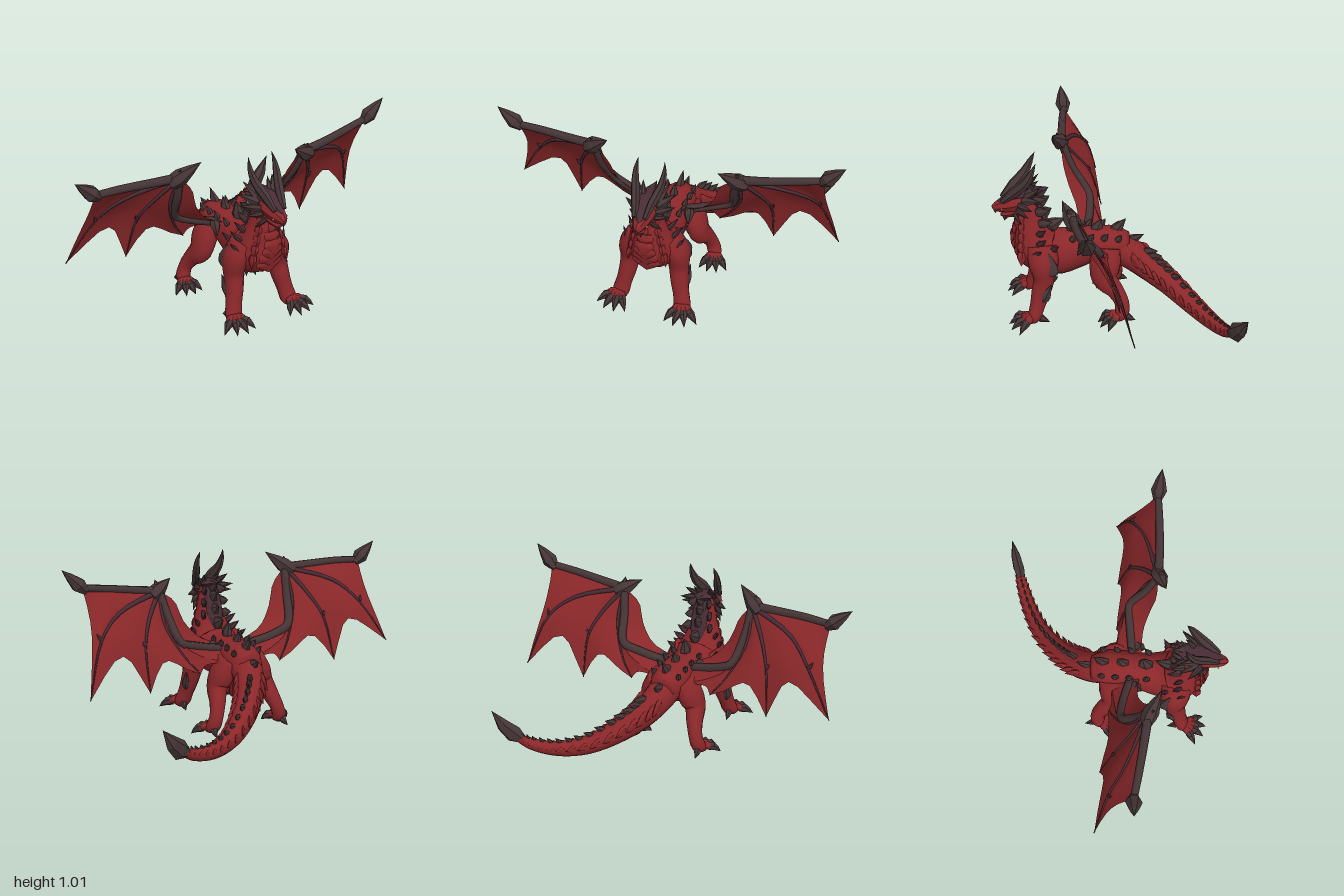
import * as THREE from 'three';

const V = (x, y, z) => new THREE.Vector3(x, y, z);
const X = V(1, 0, 0), Y = V(0, 1, 0), Z = V(0, 0, 1);
const mat = (name, color) => Object.assign(new THREE.MeshStandardMaterial({ color }), { name });
const red = mat('red scales', 0x8b272a);
const dark = mat('dark horn', 0x463536);
const plum = mat('plum bone', 0x482c35);
const eyeMat = mat('pale eye', 0xd2a872);
const skin = mat('wing skin', 0x892729);
skin.side = THREE.DoubleSide;

const curveOf = rows => new THREE.CatmullRomCurve3(rows.map(r => V(r[0], r[1], r[2])));

// Smooth tube through rows [x, y, z, a, b]; a is the half size towards ref, b across it.
function loft(name, rows, ref, material, { sides = 12, steps = 4, flat = false, sx = 1 } = {}) {
  const path = curveOf(rows.map(r => [r[0] * sx, r[1], r[2]]));
  const size = new THREE.CatmullRomCurve3(rows.map(r => V(r[3], r[4] ?? r[3], 0)), false, 'catmullrom', 0.5);
  const n = (rows.length - 1) * steps, pos = [], index = [];
  for (let i = -1; i <= n + 1; i++) {
    const t = Math.min(Math.max(i / n, 0), 1), p = path.getPoint(t), s = size.getPoint(t);
    const T = path.getTangent(t), N = ref.clone().addScaledVector(T, -ref.dot(T)).normalize();
    const S = T.clone().cross(N), k = i < 0 || i > n ? 0 : 1;
    for (let j = 0; j < sides; j++) {
      const a = j / sides * Math.PI * 2;
      const q = p.clone().addScaledVector(N, Math.cos(a) * Math.max(s.x * k, 0.0004))
        .addScaledVector(S, Math.sin(a) * Math.max(s.y * k, 0.0004));
      pos.push(q.x, q.y, q.z);
    }
  }
  for (let i = 0; i < n + 2; i++) for (let j = 0; j < sides; j++) {
    const a = i * sides + j, b = i * sides + (j + 1) % sides;
    index.push(a, b, b + sides, a, b + sides, a + sides);
  }
  let g = new THREE.BufferGeometry();
  g.setAttribute('position', new THREE.Float32BufferAttribute(pos, 3));
  g.setIndex(index);
  if (flat) g = g.toNonIndexed();
  g.computeVertexNormals();
  const m = new THREE.Mesh(g, material);
  m.name = name;
  return m;
}

// Faceted pointed scale or claw.
function spike(name, from, to, a, b = a, material = dark, sx = 1, ref = X) {
  const mid = from.map((v, i) => v + (to[i] - v) * 0.35);
  return loft(name, [[...from, a * 0.8, b * 0.8], [...mid, a, b], [...to, 0, 0]], ref, material,
    { sides: 6, steps: 2, flat: true, sx });
}

function makeBody() {
  const g = new THREE.Group(); g.name = 'body';
  g.add(loft('torsoAndNeck', [
    [0, .40, -.10, .07, .08], [0, .41, -.02, .105, .11], [0, .425, .08, .105, .10], [0, .40, .20, .11, .125],
    [0, .385, .32, .135, .142], [0, .425, .415, .148, .14], [0, .53, .452, .108, .102],
    [0, .62, .462, .076, .083], [0, .70, .475, .058, .065], [0, .745, .51, .04, .045]], X, red, { sides: 16 }));
  // Dark mane down the nape
  g.add(loft('mane', [[0, .78, .45, .045, .02], [0, .70, .412, .05, .02], [0, .62, .385, .052, .02], [0, .55, .355, .035, .015],
    [0, .52, .32, .01, .006]], X, plum, { sides: 8, steps: 2, flat: true }));
  // Large spines from nape to rump: base z, y, tip z, y, half width
  for (const [z, y, tz, ty, w] of [
    [.43, .76, .35, .80, .03], [.42, .70, .345, .745, .03], [.40, .63, .335, .665, .032], [.37, .54, .26, .60, .034],
    [.22, .50, .19, .61, .036], [.09, .495, .05, .58, .03], [-.01, .48, -.09, .575, .03], [-.10, .42, -.195, .465, .026]])
    g.add(spike('backSpine', [0, y, z], [0, ty, tz], w * .8, w * 1.25));
  for (const s of [1, -1]) {
    // Paired studs beside the spine
    for (const [x, y, z] of [[.08, .49, .23], [.08, .49, .13], [.08, .485, .05], [.075, .47, -.03]])
      g.add(spike('backStud', [x, y, z], [x * 1.15, y + .045, z - .03], .016, .02, dark, s));
    // Mane side plates
    for (const [x, y, z] of [[.045, .74, .44], [.055, .67, .425], [.065, .60, .41]])
      g.add(spike('maneSpine', [x, y, z], [x + .02, y + .02, z - .075], .016, .03, dark, s));
    // Shoulder thorns
    for (const [x, y, z] of [[.115, .49, .42], [.125, .455, .35], [.135, .43, .45], [.09, .54, .42]])
      g.add(spike('shoulderThorn', [x, y, z], [x + .045, y + .055, z - .045], .014, .022, plum, s));
    // Overlapping scales along the neck side
    for (let i = 0; i < 5; i++) {
      const y = .66 - i * .055, x = .045 + i * .013;
      g.add(spike('neckScale', [x, y, .495 + i * .004], [x + .015, y - .085, .505 + i * .004], .018, .032, red, s));
    }
  }
  // Broad throat and chest plates
  for (let i = 0; i < 7; i++) {
    const y = .665 - i * .045, z = .515 + .013 * Math.min(i, 3) - Math.max(i - 4, 0) * .014;
    g.add(spike('chestPlate', [0, y, z], [0, y - .085, z + (i < 4 ? .018 : 0)], .035 + .008 * i, .018, red));
  }
  return g;
}

function makeTail() {
  const g = new THREE.Group(); g.name = 'tail';
  const rows = [[0, .42, .04, .085, .10], [.015, .36, -.10, .09, .09], [.06, .295, -.20, .08, .083], [.15, .222, -.32, .068, .07],
    [.30, .148, -.45, .053, .055], [.45, .13, -.535, .042, .044], [.58, .155, -.59, .033, .035],
    [.66, .20, -.62, .022, .022], [.71, .25, -.64, .01, .01]];
  g.add(loft('tailBody', rows, Y, red));
  const path = curveOf(rows);
  for (let i = 0; i < 15; i++) {
    const t = .2 + i * .045, p = path.getPoint(t), T = path.getTangent(t), S = T.clone().cross(Y).normalize();
    const f = t * (rows.length - 1), k = Math.floor(f), r = rows[k][3] + (rows[k + 1][3] - rows[k][3]) * (f - k);
    const up = S.clone().cross(T);
    const at = (along, side, high) => p.clone().addScaledVector(T, along * r).addScaledVector(S, side * r).addScaledVector(up, high * r).toArray();
    g.add(spike('tailSpine', at(0, 0, .8), at(.7, 0, 1.55), r * .2, r * .35, dark, 1, S));
    for (const s of [1, -1])
      g.add(spike('tailScale', at(-.6, s * .72, .3), at(.7, s * 1.2, .3), r * .5, r * .2, red, 1, Y));
  }
  g.add(loft('tailBlade', [[.63, .18, -.605, .028, .026], [.675, .21, -.622, .056, .036], [.73, .265, -.643, .042, .03],
    [.79, .354, -.665, 0, 0]], Y, dark, { sides: 6, steps: 1, flat: true }));
  return g;
}

function makeHead() {
  const g = new THREE.Group(); g.name = 'head';
  g.add(loft('skull', [[0, .73, .46, .05, .045], [0, .718, .53, .06, .056], [0, .70, .60, .047, .046],
    [0, .69, .645, .03, .032], [0, .68, .667, .01, .016]], X, red, { sides: 8, steps: 2, flat: true }));
  g.add(loft('jaw', [[0, .67, .49, .045, .05], [0, .655, .56, .037, .032], [0, .64, .61, .02, .016], [0, .64, .625, .01, .008]], X, red,
    { sides: 6, steps: 2, flat: true }));
  g.add(spike('beak', [0, .685, .655], [0, .648, .652], .014, .012));
  g.add(spike('chinHorn', [0, .65, .59], [0, .598, .606], .016, .022));
  g.add(loft('browPlate', [[0, .722, .64, .010, .007], [0, .748, .59, .04, .012], [0, .772, .52, .065, .022],
    [0, .78, .44, .06, .024], [0, .80, .36, 0, 0]], X, plum, { sides: 6, steps: 1, flat: true }));
  for (const s of [1, -1]) {
    g.add(loft('horn', [[.03, .735, .615, .014, .014], [.048, .80, .545, .024, .034], [.072, .865, .482, .022, .028],
      [.080, .93, .446, .014, .017], [.074, .988, .42, 0, 0]], X, dark, { sides: 6, steps: 2, flat: true, sx: s }));
    // Frill around the cheeks
    for (const [x, y, z, tx, ty, tz, w] of [[.045, .765, .49, .095, .84, .40, .024], [.055, .745, .5, .13, .775, .40, .024],
      [.055, .72, .52, .145, .725, .45, .022], [.05, .69, .53, .115, .665, .47, .02], [.042, .665, .55, .085, .605, .51, .016],
      [.03, .78, .48, .05, .845, .42, .018]])
      g.add(spike('cheekFrill', [x, y, z], [tx, ty, tz], w * .7, w, dark, s, Z));
    const eye = new THREE.Mesh(new THREE.SphereGeometry(.006, 8, 6), eyeMat);
    eye.name = 'eye'; eye.position.set(s * .043, .69, .618);
    g.add(eye);
  }
  return g;
}

// Foot with fanned toes, claws and a heel spur.
function addFoot(g, s, x, z, len) {
  for (const a of [-.6, -.1, .4, .95]) {
    const at = (d, y) => [x + Math.sin(a) * d, y, z + Math.cos(a) * d];
    g.add(loft('toe', [[...at(0, .05), .028, .03], [...at(len * .35, .06), .026, .028], [...at(len * .6, .045), .018, .02]],
      Y, red, { sides: 6, steps: 2, sx: s }));
    g.add(loft('claw', [[...at(len * .4, .05), .022, .02], [...at(len * .68, .048), .028, .023], [...at(len * 1.12, .01), 0, 0]],
      Y, dark, { sides: 6, steps: 2, flat: true, sx: s }));
  }
  g.add(spike('heelSpur', [x, .06, z - .03], [x + .01, .025, z - .10], .02, .024, dark, s));
}

function makeLegs(s, side) {
  const front = new THREE.Group(), hind = new THREE.Group();
  front.name = side + 'FrontLeg'; hind.name = side + 'HindLeg';
  front.add(loft('foreLimb', [[.09, .47, .40, .06, .09], [.137, .38, .395, .068, .085], [.145, .28, .395, .058, .062],
    [.155, .20, .415, .052, .055], [.172, .12, .438, .047, .044], [.185, .06, .46, .05, .04], [.19, .04, .49, .04, .025]], X, red, { sx: s }));
  // Dark plates on the shoulder, elbow and forearm
  front.add(spike('shoulderPlate', [.188, .33, .352], [.168, .465, .365], .02, .048, dark, s));
  front.add(spike('forearmPlate', [.19, .165, .405], [.20, .275, .355], .022, .032, dark, s));
  front.add(spike('elbowSpine', [.15, .28, .36], [.18, .315, .315], .018, .024, dark, s));
  addFoot(front, s, .192, .47, .12);
  hind.add(loft('hindLimb', [[.08, .43, .03, .06, .08], [.115, .35, .04, .07, .09], [.145, .27, .045, .06, .076],
    [.17, .20, -.01, .048, .052], [.195, .13, -.048, .04, .042], [.213, .07, -.045, .042, .042], [.222, .04, -.01, .035, .025]],
  X, red, { sx: s }));
  addFoot(hind, s, .22, -.025, .105);
  return [front, hind];
}

// Skin panel stretched between two curves, with a scalloped outer edge.
function panel(a, b, scallop, billow) {
  const nu = 10, nv = 6, pos = [], index = [], A = curveOf(a), B = curveOf(b);
  for (let i = 0; i <= nu; i++) for (let j = 0; j <= nv; j++) {
    const v = j / nv, w = Math.sin(Math.PI * v), u = i / nu * (1 - scallop * w);
    const p = A.getPoint(u).lerp(B.getPoint(u), v);
    pos.push(p.x, p.y, p.z - billow * w * u);
  }
  for (let i = 0; i < nu; i++) for (let j = 0; j < nv; j++) {
    const k = i * (nv + 1) + j, l = k + nv + 1;
    index.push(k, l, l + 1, k, l + 1, k + 1);
  }
  const g = new THREE.BufferGeometry();
  g.setAttribute('position', new THREE.Float32BufferAttribute(pos, 3));
  g.setIndex(index); g.computeVertexNormals();
  const m = new THREE.Mesh(g, skin); m.name = 'wingSkin';
  return m;
}

function makeWing(name, w) {
  const g = new THREE.Group(); g.name = name;
  const sx = Math.sign(w.wrist[0]);
  const lines = [w.lead, w.outer, w.middle, w.inner, w.flank, w.arm, w.upper].map(l => [w.wrist, ...l]);
  [.08, .25, .25, .1, 0, 0].forEach((c, i) => g.add(panel(lines[i], lines[i + 1], c, i < 3 ? .025 : 0)));
  // Leading edge, fingers and arm: line number, start radius, end radius
  for (const [i, r0, r1] of [[0, .026, .02], [1, .016, .003], [2, .016, .003], [3, .012, .003], [5, .025, .026]]) {
    const l = lines[i], finger = i > 0 && i < 4;
    g.add(loft(finger ? 'wingFinger' : 'wingArm', l.map((p, k) => [...p, r0 + (r1 - r0) * k / (l.length - 1)]), Z,
      finger ? plum : dark, { sides: 6 }));
    if (i === 1 || i === 2) {
      const p = l[2];
      g.add(spike('fingerKnuckle', p, [p[0] + sx * .02, p[1] + .035, p[2] + .02], .012, .014, plum));
    }
  }
  const [x, y, z] = w.wrist;
  g.add(spike('wristHorn', [x + sx * .05, y - .03, z - .01], w.horn, .045, .048, dark, 1, Z));
  g.add(spike('wristThorn', [x, y, z], [x + sx * .01, y + .06, z + .03], .026, .026, dark, 1, Z));
  g.add(spike('shoulderKnob', [sx * .12, .50, .15], [sx * .13, .42, .20], .03, .03));
  // Barbed blade at the tip
  const b = w.lead[w.lead.length - 1], t = w.tip, mix = k => b.map((v, i) => v + (t[i] - v) * k);
  g.add(loft('wingBlade', [[...mix(-.2), .024, .022], [...mix(.18), .046, .046], [...mix(.6), .027, .026], [...t, 0, 0]], Z, dark,
    { sides: 6, steps: 1, flat: true }));
  return g;
}

export function createModel() {
  const model = new THREE.Group(); model.name = 'dragon';
  model.add(makeBody(), makeTail(), makeHead(), ...makeLegs(1, 'left'), ...makeLegs(-1, 'right'));
  model.add(makeWing('leftWing', {
    wrist: [.42, .83, .24], horn: [.325, .885, .29], tip: [1, 1.02, .212],
    lead: [[.58, .855, .235], [.74, .885, .22], [.89, .91, .2]],
    outer: [[.70, .755, .145], [.84, .64, .055], [.95, .335, -.04]],
    middle: [[.52, .695, .15], [.575, .565, .07], [.58, .31, 0]],
    inner: [[.42, .64, .15], [.34, .47, .06], [.26, .37, .02]],
    flank: [[.39, .67, .16], [.33, .53, .07], [.23, .46, .05], [.09, .42, .02]],
    arm: [[.39, .69, .18], [.35, .555, .09], [.25, .515, .10], [.08, .47, .13]],
    upper: [[.325, .76, .24], [.28, .64, .21], [.2, .545, .18], [.08, .49, .18]],
  }));
  model.add(makeWing('rightWing', {
    wrist: [-.40, .88, .25], horn: [-.30, .97, .31], tip: [-1, .985, .22],
    lead: [[-.56, .885, .24], [-.74, .89, .225], [-.885, .885, .21]],
    outer: [[-.68, .79, .155], [-.82, .66, .07], [-.98, .41, .005]],
    middle: [[-.50, .74, .16], [-.57, .60, .075], [-.61, .34, 0]],
    inner: [[-.41, .68, .16], [-.33, .49, .07], [-.25, .38, .02]],
    flank: [[-.39, .70, .17], [-.33, .54, .08], [-.23, .47, .05], [-.09, .42, .02]],
    arm: [[-.385, .72, .19], [-.345, .57, .10], [-.25, .52, .10], [-.08, .47, .13]],
    upper: [[-.325, .79, .25], [-.28, .66, .22], [-.2, .555, .18], [-.08, .49, .18]],
  }));
  return model;
}
